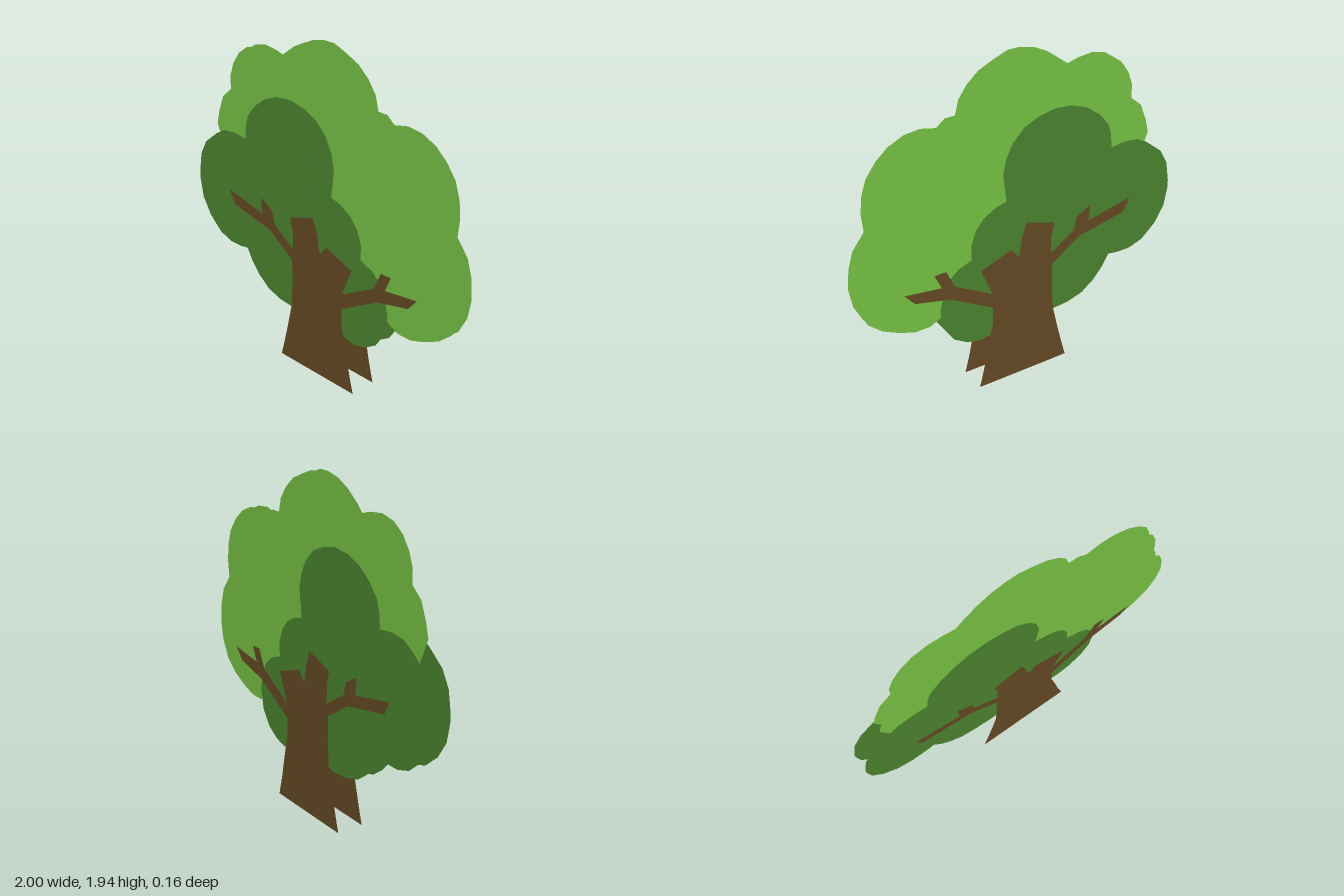
import * as THREE from 'three';

// Outlines are x, y pairs in hundredths of a unit
const LIGHT_CROWN = [
  -83, 122, -85, 127, -83, 135, -79, 145, -72, 151, -72, 159, -69, 167, -64, 174, -57, 179, -48, 181, -39, 180, -32, 178,
  -28, 182, -20, 188, -12, 192, -3, 194, 4, 194, 12, 191, 21, 187, 28, 181, 33, 174, 35, 166, 41, 166, 46, 162,
  55, 164, 64, 163, 73, 159, 80, 153, 86, 145, 89, 136, 90, 126, 89, 116, 96, 107, 99, 97, 100, 85, 98, 74,
  93, 64, 85, 57, 75, 52, 66, 49, 57, 49, 51, 52, 45, 56, 30, 62, -30, 62, -70, 90, -79, 112,
];

const DARK_CROWN = [
  -83, 122, -76, 126, -67, 127, -58, 126, -57, 135, -55, 141, -49, 148, -41, 154, -31, 158, -20, 159, -10, 157, -1, 153,
  6, 146, 10, 138, 12, 129, 10, 113, 17, 111, 24, 107, 29, 101, 32, 93, 32, 84, 40, 81, 47, 75, 50, 67,
  52, 58, 50, 46, 44, 37, 36, 32, 28, 30, 22, 31, 13, 33, 4, 40, -7, 36, -19, 33, -31, 34, -41, 37,
  -49, 43, -55, 50, -59, 57, -65, 56, -74, 56, -83, 59, -92, 67, -98, 77, -100, 88, -100, 93, -98, 105, -93, 114,
];

const TRUNK = [
  -28, 0, -25, 11, -22, 23, -19, 36, -18, 51, -18, 66, -36, 78, -66, 84, -70, 92, -42, 86, -43, 96, -34, 91,
  -32, 83, -17, 73, -17, 83, -19, 92, -1, 98, 2, 89, 4, 78, 9, 84, 28, 77, 21, 60, 44, 73, 49, 84,
  56, 84, 52, 75, 74, 78, 68, 71, 47, 66, 21, 51, 21, 40, 24, 27, 27, 12, 30, 0,
];

function sheetGeometry(outline) {
  const points = [];
  for (let i = 0; i < outline.length; i += 2) {
    points.push(new THREE.Vector2(outline[i] / 100, outline[i + 1] / 100));
  }
  return new THREE.ShapeGeometry(new THREE.Shape(points));
}

function flatColour(name, color) {
  const material = new THREE.MeshStandardMaterial({ color, side: THREE.DoubleSide });
  material.name = name;
  return material;
}

export function createModel() {
  const tree = new THREE.Group();
  tree.name = 'tree';

  // Each layer is a flat cut-out, repeated in front of and behind the centre
  const layers = [
    ['lightCrown', LIGHT_CROWN, flatColour('light leaf green', 0x75bf42), 0.027],
    ['darkCrown', DARK_CROWN, flatColour('dark leaf green', 0x4a822e), 0.053],
    ['trunk', TRUNK, flatColour('bark brown', 0x634823), 0.08],
  ];
  for (const [name, outline, material, depth] of layers) {
    const geometry = sheetGeometry(outline);
    for (const side of [1, -1]) {
      const sheet = new THREE.Mesh(geometry, material);
      sheet.name = name + (side > 0 ? 'Front' : 'Back');
      sheet.position.z = side * depth;
      // The back sheets keep the same outline but face backwards
      if (side < 0) {
        sheet.geometry = geometry.clone().scale(-1, 1, 1);
        const index = sheet.geometry.index;
        for (let i = 0; i < index.count; i += 3) {
          const a = index.getX(i);
          index.setX(i, index.getX(i + 1));
          index.setX(i + 1, a);
        }
        sheet.rotation.y = Math.PI;
      }
      tree.add(sheet);
    }
  }
  return tree;
}
